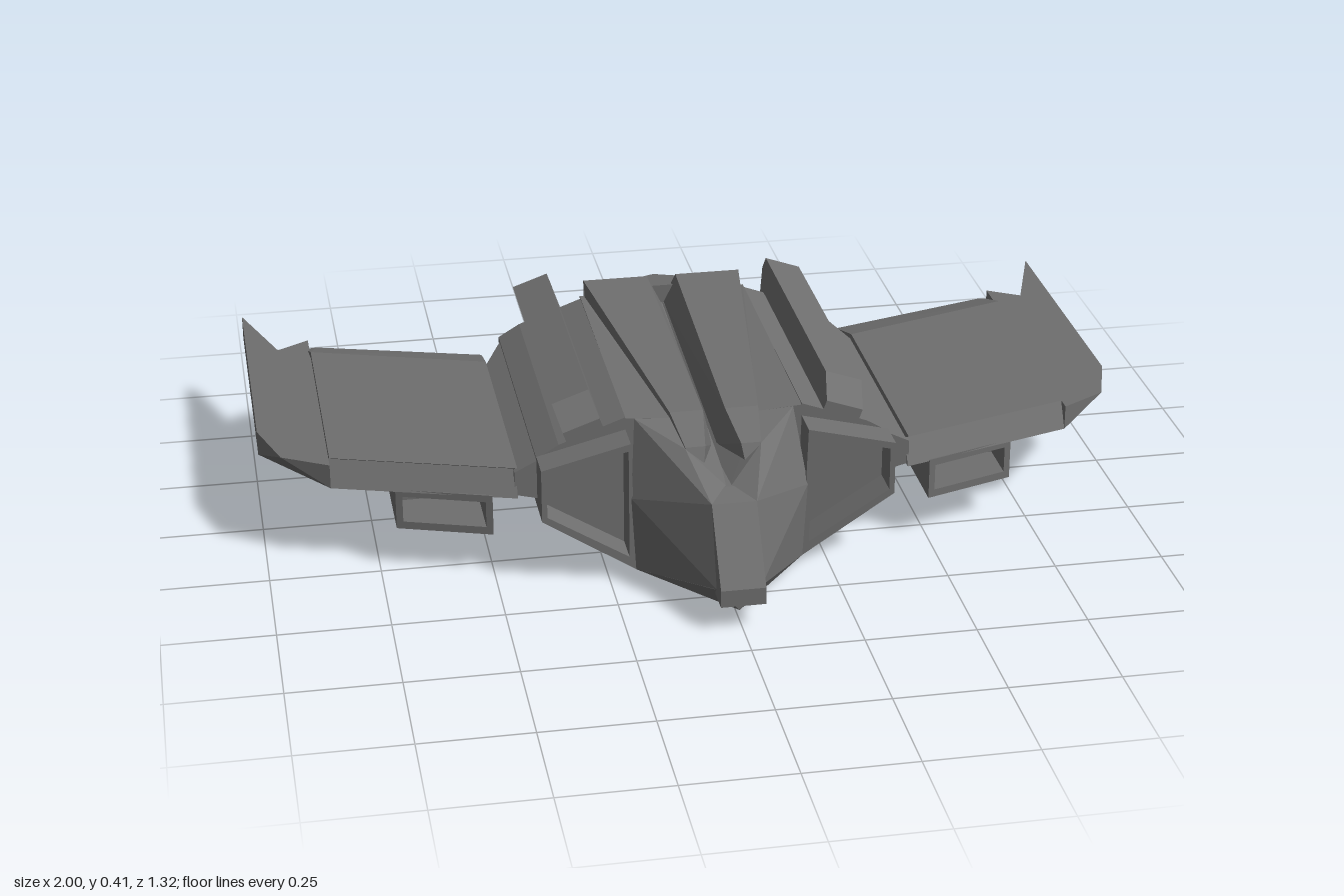
import * as THREE from 'three';
import { ConvexGeometry } from 'three/addons/geometries/ConvexGeometry.js';

const material = new THREE.MeshStandardMaterial({ color: 0x6f6f6f, flatShading: true });

export function createModel() {
  const model = new THREE.Group();

  const add = (name, geometry) => {
    const mesh = new THREE.Mesh(geometry, material);
    mesh.name = name;
    model.add(mesh);
    return mesh;
  };

  // Faceted solid through its corner points; s mirrors it across x
  const solid = (name, s, points) =>
    add(name, new ConvexGeometry(points.map(([x, y, z]) => new THREE.Vector3(s * x, y, z))));

  // Flat plate between a lower and an upper (x, z) outline
  const plate = (name, s, y0, lower, y1, upper = lower) =>
    solid(name, s, [...lower.map(([x, z]) => [x, y0, z]), ...upper.map(([x, z]) => [x, y1, z])]);

  // Tube with an (x, y) outline and opening, run from z0 to z1
  const tube = (name, s, outline, hole, z0, z1) => {
    const flip = (pts) => pts.map(([x, y]) => new THREE.Vector2(s * x, y));
    const shape = new THREE.Shape(flip(outline));
    shape.holes.push(new THREE.Path(flip(hole).reverse()));
    const g = new THREE.ExtrudeGeometry(shape, { depth: z1 - z0, bevelEnabled: false });
    return add(name, g.translate(0, 0, z0));
  };

  const at = (z, pts) => pts.map(([x, y]) => [x, y, z]);
  const both = (pts) => pts.flatMap(([x, y, z]) => [[x, y, z], [-x, y, z]]);

  // Nose beak and lower jaw
  solid('noseBeak', 1, both([
    [0.05, 0.06, 0.66], [0.05, 0.1, 0.66], [0.05, 0.075, 0.61], [0.05, 0.255, 0.55],
    [0.05, 0.265, 0.49], [0.05, 0.27, 0.4], [0.05, 0.06, 0.4],
  ]));
  solid('lowerJaw', 1, [
    [0, 0.025, 0.615], ...both([[0.045, 0.078, 0.615], [0.19, 0.022, 0.385], [0.19, 0.024, 0.31]]),
    [0, 0, 0.31], [0, 0.2, 0.385],
  ]);

  // Wedge-shaped tail
  solid('tail', 1, [
    ...both([[0.19, 0.05, -0.36], [0.19, 0.385, -0.36]]),
    [0, 0.36, -0.49], [0, 0.045, -0.515], [0, 0.035, -0.36],
  ]);

  // Nacelle sections; the belly rises toward the back
  const upper = [[0.4, 0.16], [0.4, 0.28], [0.35, 0.31], [0.2, 0.365]];
  const frontSection = [[0.19, 0.023], ...upper];
  const rearSection = [[0.19, 0.046], ...upper];
  const lip = [[0.19, 0.022], [0.4, 0.16], [0.4, 0.285], [0.2, 0.335]];
  const intakeHole = [[0.205, 0.055], [0.388, 0.17], [0.388, 0.272], [0.205, 0.317]];
  const exhaustHole = [[0.212, 0.085], [0.378, 0.178], [0.378, 0.268], [0.212, 0.325]];

  for (const s of [1, -1]) {
    // Cheek between the beak and the hull
    solid('noseCheek', s, [
      [0, 0.078, 0.61], [0.05, 0.078, 0.61], [0.05, 0.255, 0.55], [0, 0.26, 0.49], [0.05, 0.265, 0.49],
      [0.085, 0.33, 0.42], [0.12, 0.335, 0.385], [0.2, 0.2, 0.385], [0.19, 0.022, 0.385],
      [0.1, 0.355, 0.31], [0.18, 0.36, 0.31], [0, 0.28, 0.31], [0, 0.03, 0.31], [0.19, 0.024, 0.31],
    ]);

    // Central hull half, and the ridge widening aft beside a centre groove
    solid('hullHalf', s, [
      [0, 0, 0.31], [0.19, 0.024, 0.31], [0.2, 0.362, 0.31], [0.1, 0.355, 0.31], [0, 0.28, 0.31],
      [0, 0.035, -0.37], [0.19, 0.048, -0.37], [0.2, 0.368, -0.37], [0, 0.34, -0.37],
    ]);
    solid('spineRidge', s, [
      [0.04, 0.333, 0.42], [0.085, 0.333, 0.42], [0.05, 0.27, 0.45],
      [0.025, 0.368, 0.31], [0.1, 0.368, 0.31], [0.005, 0.28, 0.31], [0.1, 0.3, 0.31],
      [0.035, 0.405, -0.375], [0.19, 0.405, -0.375], [0.003, 0.34, -0.375], [0.19, 0.35, -0.375],
    ]);

    // Engine nacelle, hollow at both ends
    tube('intake', s, lip, intakeHole, 0.31, 0.385);
    solid('nacelle', s, [...at(0.31, frontSection), ...at(-0.26, rearSection)]);
    tube('exhaust', s, rearSection, exhaustHole, -0.36, -0.26);

    // Tilted dorsal rail, chamfered in front and undercut behind
    const side = new THREE.Shape([
      [0.31, -0.1], [0.31, -0.04], [0.235, 0], [-0.435, 0], [-0.435, -0.025], [-0.355, -0.1],
    ].map(([z, y]) => new THREE.Vector2(z, y)));
    const railGeometry = new THREE.ExtrudeGeometry(side, { depth: 0.088, bevelEnabled: false });
    railGeometry.translate(0, 0, -0.044).rotateY(-Math.PI / 2);
    const rail = add('dorsalRail', railGeometry);
    rail.position.set(s * 0.312, 0.39, 0);
    rail.rotation.z = -s * 0.34;

    // Wing root, base, overhanging panel and sloping trailing flap
    solid('wingRoot', s, [
      [0.39, 0.28, 0.31], [0.39, 0.18, 0.31], [0.39, 0.28, -0.36], [0.39, 0.18, -0.36],
      [0.45, 0.25, 0.31], [0.45, 0.195, 0.31], [0.45, 0.25, -0.25], [0.45, 0.195, -0.25],
    ]);
    const back = [[0.85, -0.38], [0.445, -0.25]];
    const edge = [[0.445, 0.325], [0.85, 0.2], ...back];
    const inset = [[0.445, 0.29], [0.85, 0.165], ...back];
    plate('wingBase', s, 0.193, edge, 0.25, inset);
    plate('wingPanel', s, 0.25, inset, 0.268, edge);
    solid('trailingFlap', s, [
      [0.445, 0.268, -0.25], [0.85, 0.268, -0.38], [0.445, 0.193, -0.25], [0.85, 0.193, -0.38],
      [0.44, 0.225, -0.385], [0.83, 0.225, -0.5], [0.44, 0.193, -0.385], [0.83, 0.193, -0.5],
      [0.86, 0.225, -0.495], [0.86, 0.193, -0.495],
    ]);

    // Wing tip with a bevelled front corner, and its swept-back spike
    const tipBack = [[1, 0], [1, -0.4], [0.925, -0.44], [0.85, -0.49]];
    plate('wingTip', s, 0.193, [[0.85, 0.2], ...tipBack], 0.25, [[0.85, 0.2], [0.955, 0.14], ...tipBack]);
    plate('tipSpike', s, 0.193, [[1, -0.36], [1, -0.66], [0.955, -0.44], [0.92, -0.43]], 0.25);

    // Underwing pod, its open mouth slanted along the wing's leading edge
    const pod = [[0.5, 0.1], [0.71, 0.1], [0.71, 0.197], [0.5, 0.197]];
    const mouth = [[0.515, 0.118], [0.695, 0.118], [0.695, 0.18], [0.515, 0.18]];
    solid('podBody', s, [...at(-0.055, pod), ...at(0.14, pod)]);
    const p = tube('podMouth', s, pod, mouth, 0.14, 0.31).geometry.attributes.position;
    for (let i = 0; i < p.count; i++) {
      if (p.getZ(i) > 0.2) p.setZ(i, 0.31 - (Math.abs(p.getX(i)) - 0.5) / 3);
    }
  }

  return model;
}
